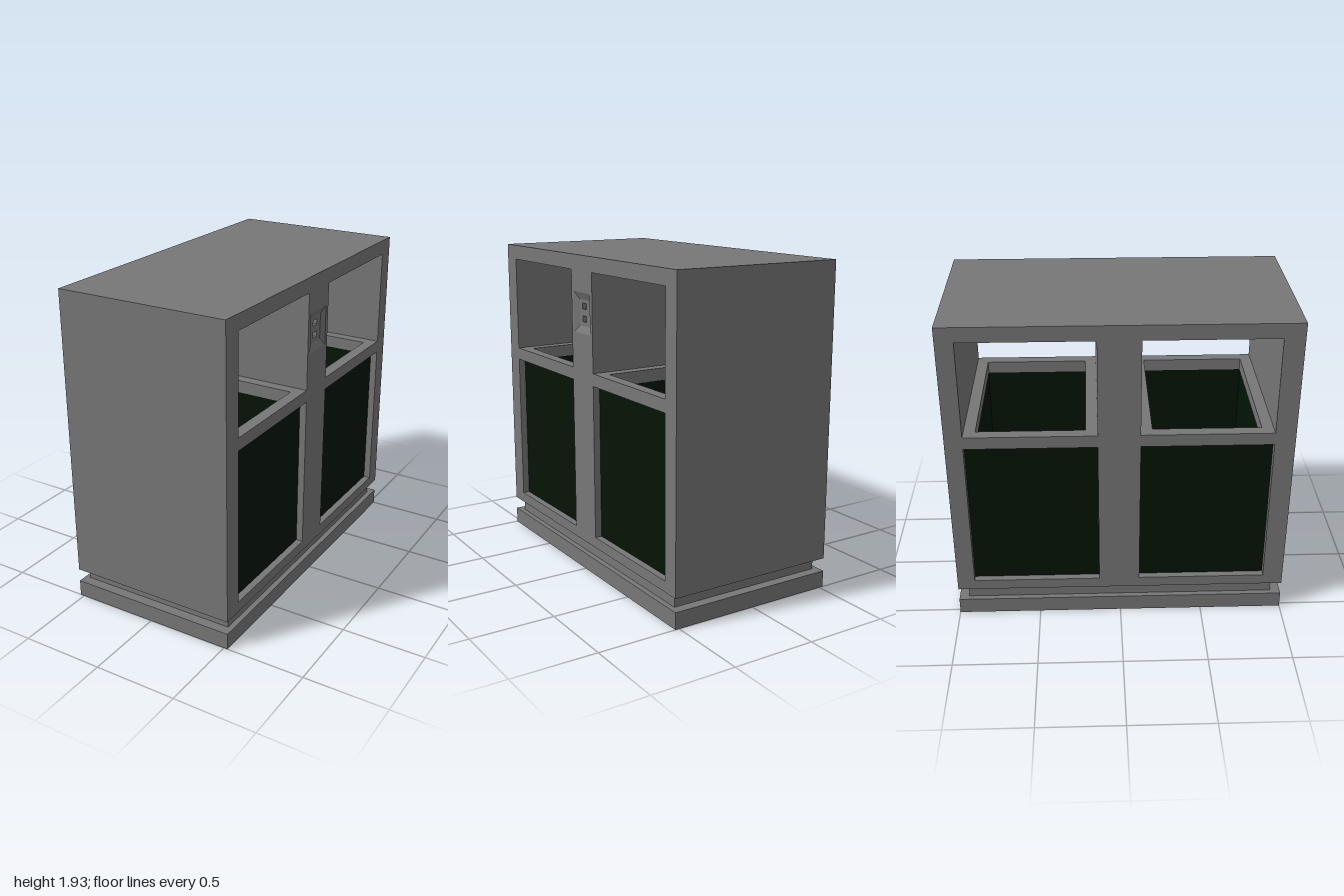
import * as THREE from 'three';

const grey = new THREE.MeshStandardMaterial({ color: 0x777777, flatShading: true, side: THREE.DoubleSide });
const green = new THREE.MeshStandardMaterial({ color: 0x031404, flatShading: true, side: THREE.DoubleSide });

const HALF_W = 0.525;
// The two bays, as [zMin, zMax]
const BAYS = [[0.115, 0.88], [-0.895, -0.13]];

function add(group, name, geometry, material = grey) {
  const mesh = new THREE.Mesh(geometry, material);
  mesh.name = name;
  group.add(mesh);
}

// Box given by its limits on each axis
function block([x0, x1], [y0, y1], [z0, z1]) {
  return new THREE.BoxGeometry(x1 - x0, y1 - y0, z1 - z0)
    .translate((x0 + x1) / 2, (y0 + y1) / 2, (z0 + z1) / 2);
}

function rect([a0, a1], [b0, b1], Type = THREE.Shape) {
  return new Type([[a0, b0], [a1, b0], [a1, b1], [a0, b1]].map(p => new THREE.Vector2(...p)));
}

// Plate with rectangular holes, standing in the z-y plane and extruded along x
function sidePlate([x0, x1], [z, y], holes) {
  const shape = rect([-z[1], -z[0]], y);
  for (const [hz, hy] of holes) shape.holes.push(rect([-hz[1], -hz[0]], hy, THREE.Path));
  return new THREE.ExtrudeGeometry(shape, { depth: x1 - x0, bevelEnabled: false })
    .rotateY(Math.PI / 2).translate(x0, 0, 0);
}

// Flat ring lying in the x-z plane and extruded up
function flatRing(x, z, [y0, y1], holeX, holeZ) {
  const shape = rect(x, [-z[1], -z[0]]);
  shape.holes.push(rect(holeX, [-holeZ[1], -holeZ[0]], THREE.Path));
  return new THREE.ExtrudeGeometry(shape, { depth: y1 - y0, bevelEnabled: false })
    .rotateX(-Math.PI / 2).translate(0, y0, 0);
}

// Four sloping faces joining a rectangle at x0 to another at x1
function funnel(x0, [z0, y0], x1, [z1, y1]) {
  const loop = (x, z, y) => [[x, y[0], z[0]], [x, y[0], z[1]], [x, y[1], z[1]], [x, y[1], z[0]]];
  const outer = loop(x0, z0, y0), inner = loop(x1, z1, y1);
  const pos = [];
  for (let i = 0; i < 4; i++) {
    const j = (i + 1) % 4;
    for (const p of [outer[i], inner[j], inner[i], outer[i], outer[j], inner[j]]) pos.push(...p);
  }
  const g = new THREE.BufferGeometry();
  g.setAttribute('position', new THREE.Float32BufferAttribute(pos, 3));
  g.computeVertexNormals();
  return g;
}

export function createModel() {
  const model = new THREE.Group();
  model.name = 'doubleRecyclingStation';

  // Base slab and recessed neck
  add(model, 'baseSlab', block([-HALF_W, HALF_W], [0, 0.1], [-1, 1]));
  add(model, 'recessedNeck', block([-0.492, 0.492], [0.1, 0.18], [-0.94, 0.94]));

  // Cabinet: one deep body and a thin face layer that carries the socket recess
  const outline = [[-1, 1], [0.18, 1.93]];
  const openings = BAYS.map(z => [z, [0.245, 1.84]]);
  const mouth = [[-0.102, 0.086], [1.475, 1.715]];
  const floor = [[-0.072, 0.052], [1.515, 1.67]];
  add(model, 'cabinetBody', sidePlate([-HALF_W, 0.455], outline, openings));
  add(model, 'cabinetFace', sidePlate([0.455, HALF_W], outline, [...openings, mouth]));

  // Shallow socket recess in the centre post: sloped sides and a plate with two small slots
  const slots = [1.54, 1.615].map(y => [[-0.027, 0.018], [y, y + 0.035]]);
  add(model, 'socketRecess', funnel(HALF_W, mouth, 0.505, floor));
  add(model, 'socketPlate', sidePlate([0.456, 0.505], floor, slots));

  for (const z of BAYS) {
    const bay = new THREE.Group();
    bay.name = 'binBay';
    model.add(bay);
    const inset = d => [z[0] + d, z[1] - d];

    // Shelf with the drop opening
    add(bay, 'shelf', flatRing([-HALF_W, HALF_W], z, [1.18, 1.255], [-0.455, 0.455], inset(0.068)));

    // Door panels on both long sides
    for (const s of [-1, 1]) {
      const panel = block([-0.004, 0.004], [0.245, 1.18], z).translate(s * 0.479, 0, 0);
      add(bay, 'doorPanel', panel, green);
    }

    // Open bin behind the doors
    add(bay, 'binWalls', flatRing([-0.473, 0.473], inset(0.05), [0.26, 1.179], [-0.458, 0.458], inset(0.065)), green);
    add(bay, 'binFloor', block([-0.458, 0.458], [0.26, 0.275], inset(0.065)), green);
  }
  return model;
}
